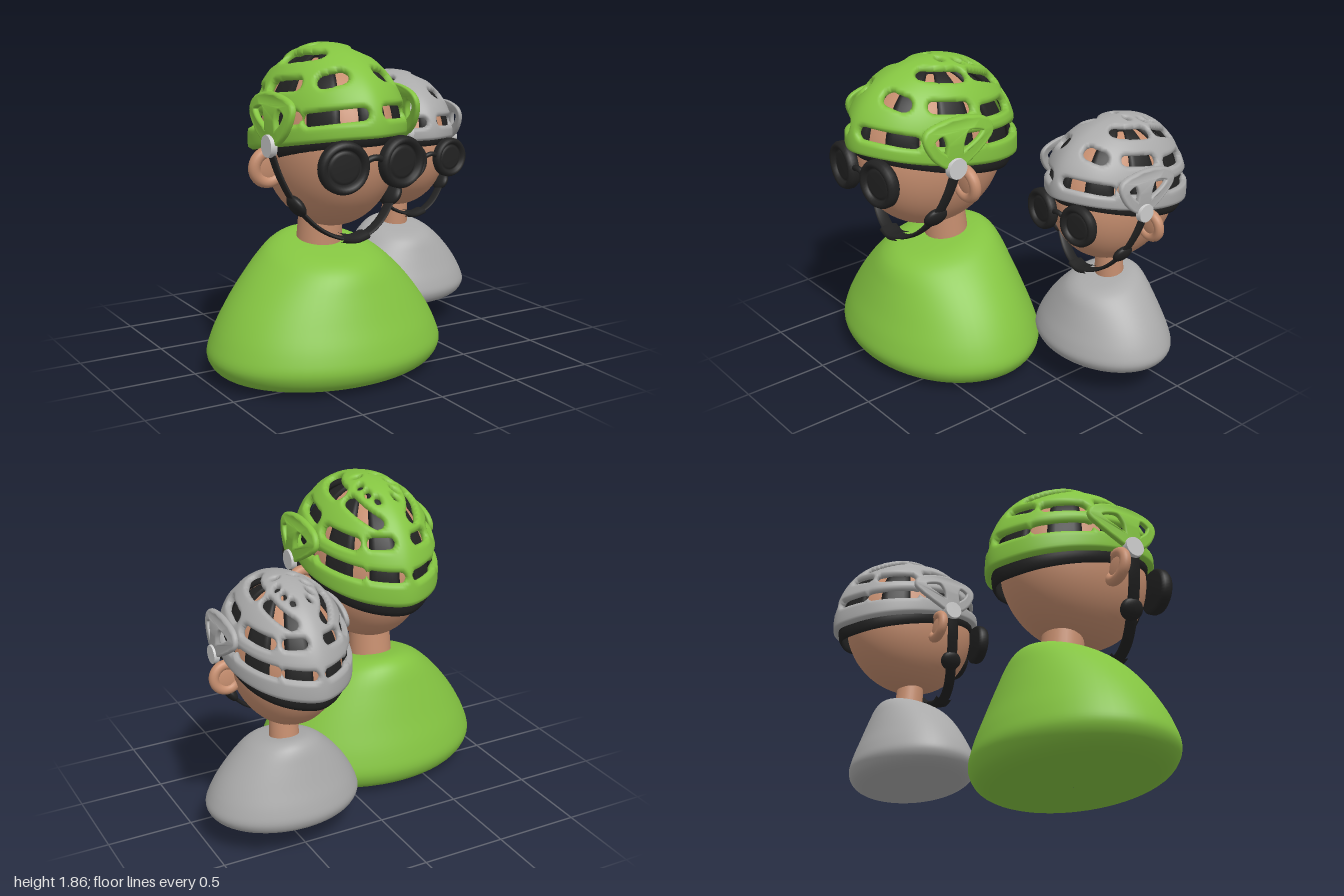
import * as THREE from 'three';
import { mergeVertices } from 'three/addons/utils/BufferGeometryUtils.js';

const V = (x, y, z) => new THREE.Vector3(x, y, z);
const mat = (color, side = THREE.FrontSide) => new THREE.MeshStandardMaterial({ color, side });
const SKIN = mat(0xc68e6f), BLACK = mat(0x222222), CLASP = mat(0xcccccc);
const RAD = Math.PI / 180;

function add(parent, name, geometry, material, pos = [0, 0, 0]) {
  const m = new THREE.Mesh(geometry, material);
  m.name = name;
  m.position.set(...pos);
  parent.add(m);
  return m;
}

// Merge seams so the normals run smoothly over the whole surface
function smooth(geo) {
  geo.deleteAttribute('uv');
  geo.deleteAttribute('normal');
  const g = mergeVertices(geo, 1e-4);
  g.computeVertexNormals();
  return g;
}

// Helmet dome: phi runs round from the front, theta from crown to rim (degrees)
function dome(phi, theta, s = 1) {
  const a = phi * RAD, t = theta * RAD, k = Math.sin(t);
  const rim = 1.36 + 0.09 * Math.cos(a), h = (1.84 - rim) * (s < 1 ? 0.95 : 1);
  const depth = 0.515 + 0.02 * Math.abs(Math.cos(a)) ** 24;
  return V(0.375 * s * k * Math.sin(a), rim + h * Math.cos(t), 0.28 + depth * s * k * Math.cos(a));
}
const domeNormal = (phi, theta) => V(
  Math.sin(theta * RAD) * Math.sin(phi * RAD) / 0.375, Math.cos(theta * RAD) / 0.48,
  Math.sin(theta * RAD) * Math.cos(phi * RAD) / 0.52).normalize();

// Shell with rounded edges wherever keep(point, phi, theta) falls to zero
function shell(nPhi, nTheta, maxTheta, s, thick, keep) {
  const out = [], grid = [];
  for (let i = 0; i <= nPhi; i++) for (let j = 0; j <= nTheta; j++) {
    const phi = i / nPhi * 360, theta = j / nTheta * maxTheta;
    const p = dome(phi, theta, s), fold = phi > 180 ? 360 - phi : phi;
    grid.push({ p, n: domeNormal(phi, theta), f: keep(V(Math.abs(p.x), p.y, p.z), fold, theta) });
  }
  const place = (v, side) => {
    const t = Math.min(Math.max(v.f, 0) / 0.022, 1);
    return v.p.clone().addScaledVector(v.n, side * thick * Math.sqrt(1 - (1 - t) ** 2)).toArray();
  };
  const clip = (tri) => {
    const poly = [];
    tri.forEach((a, i) => {
      const b = tri[(i + 1) % 3];
      if (a.f >= 0) poly.push(a);
      if ((a.f >= 0) !== (b.f >= 0)) {
        const t = a.f / (a.f - b.f);
        poly.push({ p: a.p.clone().lerp(b.p, t), n: a.n.clone().lerp(b.n, t), f: 0 });
      }
    });
    for (let i = 1; i + 1 < poly.length; i++) {
      const [a, b, c] = [poly[0], poly[i], poly[i + 1]];
      out.push(...place(a, 1), ...place(b, 1), ...place(c, 1), ...place(a, -1), ...place(c, -1), ...place(b, -1));
    }
  };
  const at = (i, j) => grid[i * (nTheta + 1) + j];
  for (let i = 0; i < nPhi; i++) for (let j = 0; j < nTheta; j++) {
    const a = at(i, j), b = at(i, j + 1), c = at(i + 1, j + 1), d = at(i + 1, j);
    clip([a, b, c]);
    if (j > 0) clip([a, c, d]);
  }
  const geo = new THREE.BufferGeometry();
  geo.setAttribute('position', new THREE.Float32BufferAttribute(out, 3));
  return smooth(geo);
}

// Vents as [radius, phi, theta, phi, theta]: crown, upper, side and rim rows
const VENTS = [
  [0.018, 163, 29, 163, 31], [0.018, 148, 24, 148, 26], [0.018, 131, 18, 131, 20], [0.018, 98, 8, 98, 10],
  [0.036, 157, 46, 122, 34], [0.045, 100, 30, 50, 25], [0.045, 24, 48, 38, 51],
  [0.035, 64, 53, 90, 55], [0.036, 107, 60, 134, 61], [0.034, 150, 59, 165, 58],
  [0.034, 11, 77, 50, 79], [0.034, 60, 77, 96, 77], [0.034, 104, 78, 140, 78], [0.03, 149, 78, 172, 78],
].map(([r, p0, t0, p1, t1]) => {
  const pts = Array.from({ length: 6 }, (_, i) => dome(p0 + (p1 - p0) * i / 5, t0 + (t1 - t0) * i / 5));
  return { r, lines: pts.slice(1).map((p, i) => new THREE.Line3(pts[i], p)) };
});

function helmetShell() {
  const q = V();
  return shell(192, 52, 96, 1, 0.024, (p, phi, theta) => {
    let f = (96 - theta) * RAD * 0.45;
    for (const { r, lines } of VENTS) for (const l of lines)
      f = Math.min(f, l.closestPointToPoint(p, true, q).distanceTo(p) - r);
    return f;
  });
}

// Padding: rim band, crown pad and strips between them
function helmetLiner() {
  return shell(108, 30, 104, 0.95, 0.012, (p, phi, theta) => {
    const strip = (13 - Math.abs((phi + 20) % 40 - 20)) * RAD * 0.4;
    const pads = Math.max(theta - 85, 20 - theta) * RAD * 0.45;
    return Math.min(Math.max(strip, pads), (104 - theta) * RAD * 0.45);
  });
}

// Side bracket drawn in (z, y), with two windows, bowed to follow the dome
function bracketGeometry() {
  const loop = (C, pts) => new C(new THREE.SplineCurve([...pts, pts[0]].map(p => new THREE.Vector2(...p))).getPoints(36).slice(0, -1));
  const shape = loop(THREE.Shape, [[0.44, 1.34], [0.55, 1.42], [0.605, 1.53], [0.56, 1.59], [0.38, 1.615],
    [0.21, 1.58], [0.16, 1.51], [0.22, 1.45], [0.36, 1.37]]);
  shape.holes.push(
    loop(THREE.Path, [[0.48, 1.42], [0.54, 1.47], [0.565, 1.53], [0.50, 1.56], [0.47, 1.5]]),
    loop(THREE.Path, [[0.39, 1.42], [0.38, 1.5], [0.33, 1.56], [0.22, 1.53], [0.26, 1.48]]));
  const geo = new THREE.ExtrudeGeometry(shape, { depth: 0.012, bevelSize: 0.014, bevelThickness: 0.012, bevelSegments: 3 });
  geo.rotateY(-Math.PI / 2);
  const p = geo.attributes.position;
  for (let i = 0; i < p.count; i++) {
    const z = p.getZ(i), y = p.getY(i);
    p.setX(i, p.getX(i) + 0.42 - 0.5 * (z - 0.38) ** 2 - 1.6 * Math.max(0, y - 1.48) ** 2);
  }
  return smooth(geo);
}

// Flat strap: a thin tube widened along z
function ribbon(points, radius, wide) {
  const path = new THREE.CatmullRomCurve3(points), n = 64, r = 10;
  const geo = new THREE.TubeGeometry(path, n, radius, r);
  const p = geo.attributes.position;
  for (let i = 0; i < p.count; i++) {
    const c = path.getPointAt(Math.floor(i / (r + 1)) / n);
    p.setZ(i, c.z + (p.getZ(i) - c.z) * wide);
  }
  return smooth(geo);
}

// Bust: lathe rings of [y, half width, half depth], top sloping down to the front
function bodyGeometry() {
  const prof = new THREE.CatmullRomCurve3([[0.005, 0.001, 0.001], [0.01, 0.48, 0.36], [0.035, 0.6, 0.46], [0.08, 0.665, 0.515],
    [0.15, 0.697, 0.54], [0.25, 0.67, 0.52], [0.4, 0.59, 0.465], [0.55, 0.475, 0.41], [0.65, 0.375, 0.37],
    [0.7, 0.31, 0.335], [0.735, 0.23, 0.28], [0.75, 0.13, 0.17], [0.755, 0.001, 0.001]]
    .map(([y, w, d]) => V(w, y, d))).getPoints(60);
  const geo = new THREE.LatheGeometry(prof.map(p => new THREE.Vector2(p.x, p.y)), 56);
  const p = geo.attributes.position;
  for (let i = 0; i < p.count; i++) {
    const { x, y, z: d } = prof[i % prof.length];
    const z = p.getZ(i) * d / x;
    p.setZ(i, z + 0.26);
    p.setY(i, y - 0.2 * z * (y / 0.755) ** 2);
  }
  return smooth(geo);
}

// Goggle cup with a raised rim and recessed lens, facing +z
function goggleGeometry() {
  const pts = [[0, -0.04], [0.125, -0.04], [0.14, -0.02], [0.14, 0.015], [0.128, 0.035], [0.108, 0.035], [0.096, 0.015],
    [0.092, 0.006], [0.084, 0.014], [0.07, 0.018], [0, 0.018]];
  return new THREE.LatheGeometry(pts.map(p => new THREE.Vector2(...p)), 40).rotateX(Math.PI / 2);
}

function buildHead(parts, color) {
  const head = new THREE.Group();
  head.name = 'head';
  add(head, 'face', new THREE.SphereGeometry(1, 48, 32), SKIN, [0, 1.32, 0.3]).scale.set(0.346, 0.465, 0.468);
  add(head, 'helmetShell', parts.shell, color);
  add(head, 'helmetLiner', parts.liner, BLACK);
  add(head, 'goggleBridge', new THREE.TubeGeometry(new THREE.QuadraticBezierCurve3(
    V(-0.06, 1.28, 0.785), V(0, 1.335, 0.815), V(0.06, 1.28, 0.785)), 16, 0.017, 10), BLACK);
  const side = [[0.425, 1.34, 0.43], [0.38, 1.18, 0.46], [0.3, 1.02, 0.495], [0.18, 0.89, 0.54], [0.06, 0.835, 0.565]];
  const chin = [...side.map(p => V(...p)), ...side.map(([x, y, z]) => V(-x, y, z)).reverse()];
  add(head, 'chinStrap', ribbon(chin, 0.012, 3.4), BLACK);
  add(head, 'chinPad', ribbon([V(-0.08, 0.84, 0.56), V(0, 0.825, 0.568), V(0.08, 0.84, 0.56)], 0.024, 2.6), BLACK);
  for (const s of [1, -1]) {
    const ear = new THREE.Group();
    ear.name = s > 0 ? 'leftEar' : 'rightEar';
    ear.position.set(s * 0.385, 1.22, 0.335);
    ear.rotation.x = 0.08;
    add(ear, 'earRim', new THREE.TorusGeometry(0.084, 0.033, 14, 36), SKIN);
    add(ear, 'earBowl', new THREE.SphereGeometry(0.09, 24, 14), SKIN).scale.z = 0.22;
    head.add(ear);
    add(head, 'goggle', parts.goggle, BLACK, [s * 0.175, 1.265, 0.775]).rotation.y = s * 0.12;
    const bracket = add(head, 'helmetBracket', parts.bracket, color);
    const clasp = add(head, 'strapClasp', new THREE.CylinderGeometry(0.06, 0.065, 0.035, 28), CLASP, [s * 0.428, 1.35, 0.43]);
    clasp.rotation.z = -s * Math.PI / 2;
    if (s < 0) bracket.scale.x = -1;
    const buckle = add(head, 'strapBuckle', new THREE.SphereGeometry(1, 24, 16), BLACK, [s * 0.3, 1.025, 0.49]);
    buckle.scale.set(0.034, 0.068, 0.075);
    buckle.rotation.z = -s * 0.55;
  }
  return head;
}

export function createModel() {
  const model = new THREE.Group();
  const parts = { shell: helmetShell(), liner: helmetLiner(), bracket: bracketGeometry(), goggle: goggleGeometry(), body: bodyGeometry() };
  const people = [
    { name: 'largeBust', color: 0x84c441, body: [1, -0.305, 0, 0], head: [1, -0.305, 0, 0] },
    { name: 'smallBust', color: 0xaaaaaa, body: [0.648, 0.548, 0.152, -0.478], head: [0.845, 0.548, 0.028, -0.612] },
  ];
  for (const { name, color, body, head } of people) {
    const person = new THREE.Group(), torso = new THREE.Group(), paint = mat(color);
    person.name = name;
    torso.name = 'torso';
    add(torso, 'shoulders', parts.body, paint);
    add(torso, 'neck', new THREE.CylinderGeometry(0.115, 0.135, 0.4, 32), SKIN, [0, 0.86, 0.21]).rotation.x = 0.08;
    const skull = buildHead(parts, paint);
    [[torso, body], [skull, head]].forEach(([g, [s, x, y, z]]) => {
      g.scale.setScalar(s);
      g.position.set(x, y, z);
      person.add(g);
    });
    model.add(person);
  }
  return model;
}
